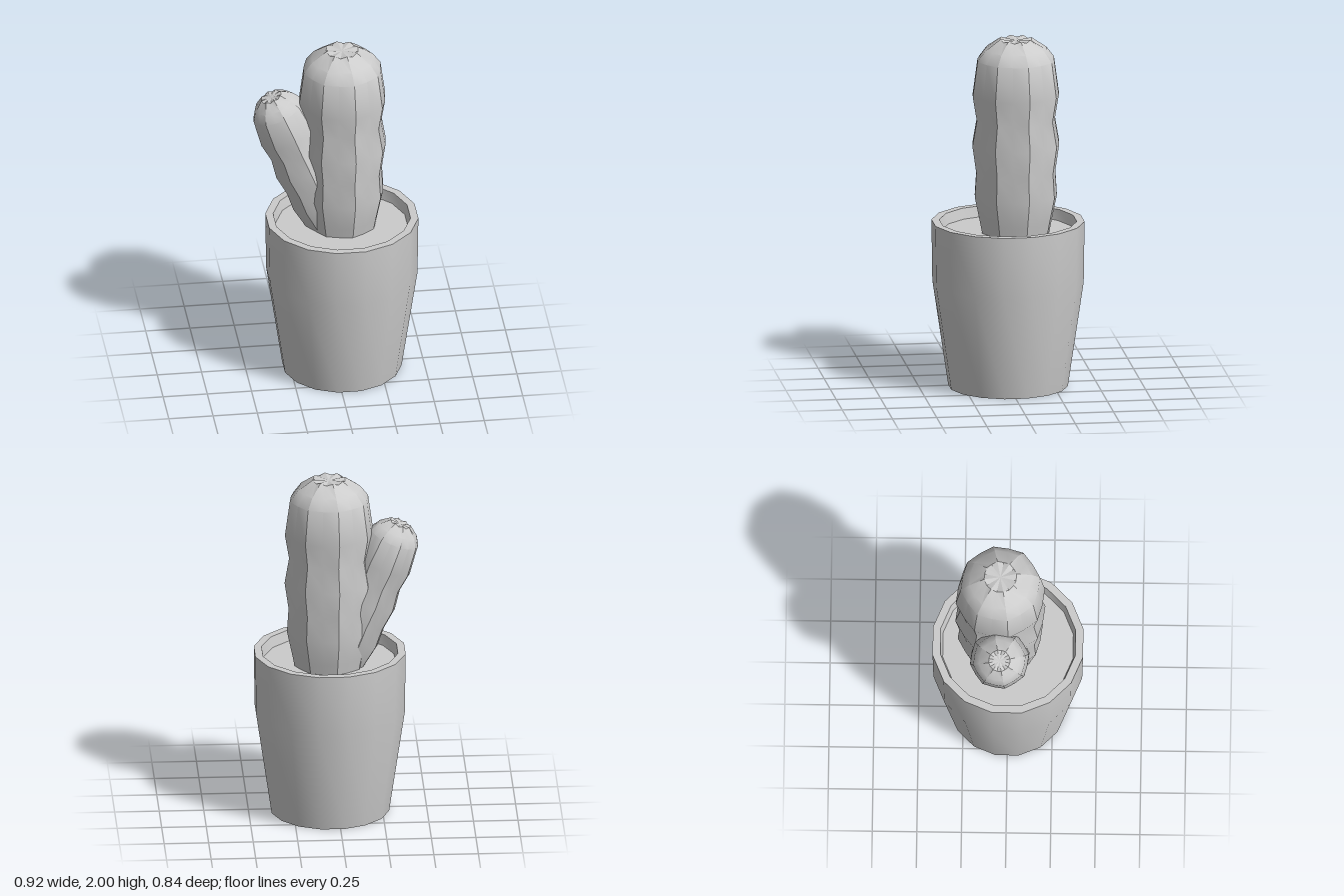
import * as THREE from 'three';
import { toCreasedNormals } from 'three/addons/utils/BufferGeometryUtils.js';

const SIDES = 16;
const CREASE = 0.5;
const material = new THREE.MeshStandardMaterial({ color: 0xcccccc });
const points = (list) => list.map(([r, y]) => new THREE.Vector2(r, y));

function addMesh(parent, name, geometry) {
  const mesh = new THREE.Mesh(geometry, material);
  mesh.name = name;
  parent.add(mesh);
  return mesh;
}

// Eight-ribbed stem with a rounded crown; its top sits at y = 0.
function stemGeometry() {
  const profile = points([
    [0.19, -1.15], [0.21, -1.05], [0.242, -0.9], [0.233, -0.76], [0.256, -0.605],
    [0.23, -0.46], [0.254, -0.32], [0.226, -0.12], [0.18, -0.06], [0.092, 0], [0, -0.01],
  ]);
  const geometry = new THREE.LatheGeometry(profile, SIDES, THREE.MathUtils.degToRad(100.7));
  const pos = geometry.attributes.position;
  const count = profile.length;
  // Pull in every second column so the others stand out as ribs.
  for (let i = 0; i < pos.count; i++) {
    if (Math.floor(i / count) % 2 === 0) continue;
    const row = i % count;
    const crownEdge = row === count - 2;
    const k = crownEdge ? 0.985 : 0.953;
    pos.setXYZ(i, pos.getX(i) * k, pos.getY(i) - (crownEdge ? 0.012 : 0), pos.getZ(i) * k);
  }
  return toCreasedNormals(geometry, CREASE);
}

export function createModel() {
  const model = new THREE.Group();
  model.name = 'pottedCactus';

  // Pot: closed base, tapered wall, rim and inner lip
  const potProfile = points([
    [0, 0], [0.336, 0], [0.425, 0.6], [0.43, 0.95], [0.386, 0.95], [0.37, 0.88],
  ]);
  const pot = addMesh(model, 'pot', toCreasedNormals(
    new THREE.LatheGeometry(potProfile, SIDES, Math.PI / SIDES), CREASE));
  pot.position.x = 0.043;

  // Soil disc
  const soil = addMesh(model, 'soil',
    new THREE.CircleGeometry(0.372, SIDES, Math.PI / SIDES).rotateX(-Math.PI / 2));
  soil.position.set(0.043, 0.89, 0);

  // Main stem and the smaller leaning arm
  const stem = stemGeometry();
  addMesh(model, 'mainStem', stem).position.set(0.05, 2, -0.043);
  const arm = addMesh(model, 'sideArm', stem);
  arm.position.set(-0.353, 1.727, -0.043);
  arm.rotation.z = THREE.MathUtils.degToRad(22);
  arm.scale.set(0.66, 0.8, 0.66);

  return model;
}
